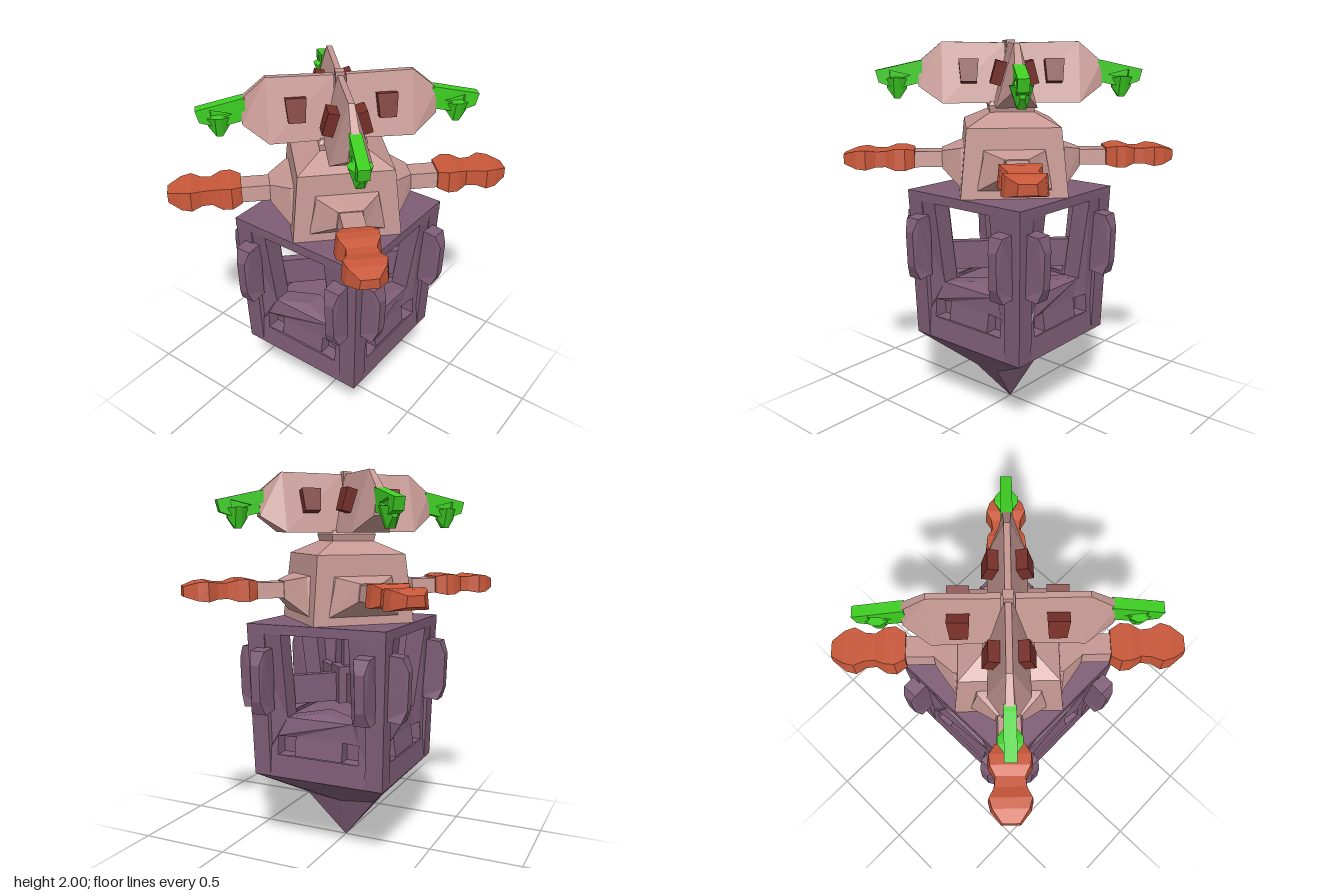
import * as THREE from 'three';

const mat = (name, color) => Object.assign(new THREE.MeshStandardMaterial({ color }), { name });

// Faceted normals for any geometry
function facet(geo) {
  const g = geo.index ? geo.toNonIndexed() : geo;
  g.computeVertexNormals();
  return g;
}

// Closed skin through rings of [x, y, z] points, capped at both ends
function skin(rings) {
  const pos = [], n = rings[0].length;
  const tri = (a, b, c) => pos.push(...a, ...b, ...c);
  for (let i = 0; i + 1 < rings.length; i++) {
    for (let k = 0; k < n; k++) {
      const m = (k + 1) % n, p = rings[i], q = rings[i + 1];
      tri(p[k], p[m], q[k]);
      tri(p[m], q[m], q[k]);
    }
  }
  const first = rings[0], last = rings[rings.length - 1];
  for (let k = 1; k + 1 < n; k++) {
    tri(first[0], first[k + 1], first[k]);
    tri(last[0], last[k], last[k + 1]);
  }
  const g = new THREE.BufferGeometry();
  g.setAttribute('position', new THREE.Float32BufferAttribute(pos, 3));
  return facet(g);
}

// Four-sided beam running along +x: [x, bottom half width, top half width, y low, y high]
const beam = (sections) => skin(sections.map(([x, b, t, y0, y1]) =>
  [[x, y0, b], [x, y0, -b], [x, y1, -t], [x, y1, t]]));

// Plate in the x-y plane, centred on z = 0
function plate(points, depth, holes = []) {
  const toV = (list) => list.map(([x, y]) => new THREE.Vector2(x, y));
  const shape = new THREE.Shape(toV(points));
  for (const h of holes) shape.holes.push(new THREE.Path(toV(h)));
  return new THREE.ExtrudeGeometry(shape, { depth, bevelEnabled: false }).translate(0, 0, -depth / 2);
}

function bend(geo, rule) {
  const p = geo.attributes.position;
  for (let i = 0; i < p.count; i++) p.setXYZ(i, ...rule(p.getX(i), p.getY(i), p.getZ(i)));
  return facet(geo);
}

export function createModel() {
  const purple = mat('hull purple', 0x7f5d76);
  const pink = mat('dusty pink', 0xc69893);
  const orange = mat('nozzle orange', 0xc9583a);
  const red = mat('block red', 0x78302a);
  const green = mat('tip green', 0x3dd022);

  const model = new THREE.Group();
  model.name = 'model';
  const add = (parent, name, geo, material, x = 0, y = 0, z = 0) => {
    const m = new THREE.Mesh(geo, material);
    m.name = name;
    m.position.set(x, y, z);
    parent.add(m);
    return m;
  };
  const box = (w, h, d) => new THREE.BoxGeometry(w, h, d);

  // Pointed keel
  const keelRing = (a, y, c, y2, d) => [
    [a, y, 0], [c, y2, d], [-c, y2, d], [-a, y, 0], [-c, y2, -d], [c, y2, -d]];
  add(model, 'keel', skin([
    keelRing(0.365, 0.42, 0.365, 0.42, 0.365),
    keelRing(0.08, 0.225, 0.075, 0.245, 0.2),
    keelRing(0.001, 0, 0.001, 0, 0.001)]), purple);

  // Hull core, roof and hanging centre post
  add(model, 'hullCore', box(0.56, 0.3, 0.56), purple, 0, 0.57, 0);
  add(model, 'hullRoof', box(0.77, 0.05, 0.77), purple, 0, 1.205, 0);
  add(model, 'innerPost', box(0.042, 0.25, 0.042), purple, 0, 1.07, 0).rotation.y = Math.PI / 4;
  add(model, 'innerHub', box(0.13, 0.2, 0.13), purple, 0, 0.88, 0).rotation.y = Math.PI / 4;

  // Hull wall: window, two recesses, and a fold drawn inward under the window
  const recess = (x) => [[x - 0.05, 0.54], [x + 0.05, 0.54], [x + 0.05, 0.64], [x - 0.05, 0.64]];
  const wallGeo = bend(plate(
    [[-0.385, 0.42], [0, 0.42], [0.385, 0.42], [0.385, 0.76], [0.385, 1.23], [-0.385, 1.23], [-0.385, 0.76]],
    0.1,
    [[[-0.19, 0.74], [0, 0.77], [0.19, 0.74], [0.19, 1.18], [-0.19, 1.18]], recess(0.19), recess(-0.19)]),
  (x, y, z) => {
    const s = (0.365 + (y - 0.42) / 0.81 * 0.02) / 0.385;
    const fold = y < 0.8 ? 0.1 * (y - 0.42) / 0.35 * (1 - Math.abs(x) / 0.385) : 0;
    return [x * s, y, (z + 0.335 - fold) * s];
  });

  // Armour pod: side profile narrowed toward its outer face
  const podGeo = bend(plate(
    [[0.36, 0.78], [0.445, 0.77], [0.472, 0.84], [0.477, 1.03], [0.45, 1.1], [0.36, 1.11]], 0.085),
  (x, y, z) => [z * (x > 0.46 ? 0.6 : 1), y, x]);
  // Turn the pod's faces the right way after swapping its axes
  const pp = podGeo.attributes.position;
  for (let i = 0; i < pp.count; i += 3) {
    const a = [pp.getX(i), pp.getY(i), pp.getZ(i)];
    pp.setXYZ(i, pp.getX(i + 1), pp.getY(i + 1), pp.getZ(i + 1));
    pp.setXYZ(i + 1, ...a);
  }
  podGeo.computeVertexNormals();

  // Upper body: a square turned to point along the axes
  const profile = [[0, 1.23], [0.385, 1.23], [0.335, 1.58], [0.16, 1.645], [0.17, 1.68], [0.15, 1.7], [0, 1.7]]
    .map(([r, y]) => new THREE.Vector2(r, y));
  add(model, 'upperBody', facet(new THREE.LatheGeometry(profile, 4)), pink);
  add(model, 'crownPost', box(0.045, 0.32, 0.045), pink, 0, 1.84, 0).rotation.y = Math.PI / 4;

  // Shapes shared by the four diagonals
  const collarGeo = beam([[0.22, 0.2, 0.16, 1.25, 1.48], [0.265, 0.19, 0.15, 1.27, 1.47], [0.36, 0.07, 0.06, 1.355, 1.445]]);
  const armGeo = beam([[0.3, 0.065, 0.055, 1.36, 1.44], [0.53, 0.065, 0.055, 1.36, 1.44]]);
  const nozzleGeo = beam([
    [0.5, 0.075, 0.07, 1.36, 1.45], [0.55, 0.11, 0.1, 1.35, 1.46], [0.6, 0.105, 0.095, 1.35, 1.46],
    [0.65, 0.075, 0.07, 1.365, 1.445], [0.7, 0.08, 0.075, 1.365, 1.445],
    [0.75, 0.107, 0.1, 1.355, 1.455], [0.8, 0.095, 0.085, 1.36, 1.45], [0.865, 0.045, 0.04, 1.38, 1.43]]);
  const finGeo = beam([
    [0.03, 0.09, 0.014, 1.69, 1.985], [0.35, 0.1, 0.014, 1.69, 1.99],
    [0.47, 0.035, 0.02, 1.77, 1.89]]);
  const tipOutline = [[0.45, 1.79], [0.54, 1.77], [0.61, 1.77], [0.67, 1.79], [0.685, 1.85], [0.48, 1.895], [0.45, 1.9]];
  const tipHole = [[0.51, 1.825], [0.61, 1.8], [0.615, 1.85]];
  const tipFrameGeo = facet(plate(tipOutline, 0.055, [tipHole]));
  const tipCoreGeo = facet(plate(tipHole, 0.015));
  const toothGeo = beam([[0.53, 0.01, 0.03, 1.76, 1.81], [0.565, 0.02, 0.055, 1.71, 1.815],
    [0.595, 0.02, 0.055, 1.71, 1.815], [0.63, 0.01, 0.03, 1.76, 1.81]]);
  const blockGeo = bend(box(0.1, 0.115, 0.075), (x, y, z) => [x * (y < 0 ? 0.8 : 1), y, z]);

  for (let i = 0; i < 4; i++) {
    // One side of the hull
    const side = new THREE.Group();
    side.name = 'hullSide';
    side.rotation.y = i * Math.PI / 2;
    model.add(side);
    add(side, 'hullWall', wallGeo, purple);
    for (const s of [-1, 1]) add(side, 'armourPod', podGeo, purple, s * 0.287, 0, 0);

    // One diagonal: inner brace, arm with nozzle, fin with tip
    const diagonal = new THREE.Group();
    diagonal.name = 'diagonal';
    diagonal.rotation.y = Math.PI / 4 + i * Math.PI / 2;
    model.add(diagonal);
    add(diagonal, 'innerBrace', box(0.42, 0.155, 0.045), purple, 0.24, 0.865, 0);
    add(diagonal, 'armCollar', collarGeo, pink);
    add(diagonal, 'arm', armGeo, pink);
    add(diagonal, 'nozzle', nozzleGeo, orange);
    add(diagonal, 'fin', finGeo, pink);
    add(diagonal, 'finTip', tipFrameGeo, green);
    add(diagonal, 'finTipCore', tipCoreGeo, green);
    add(diagonal, 'finTooth', toothGeo, green);
    for (const s of [-1, 1]) {
      add(diagonal, 'finBlock', blockGeo, red, 0.217, 1.845, s * 0.068).rotation.x = -s * 0.27;
    }
  }
  return model;
}
